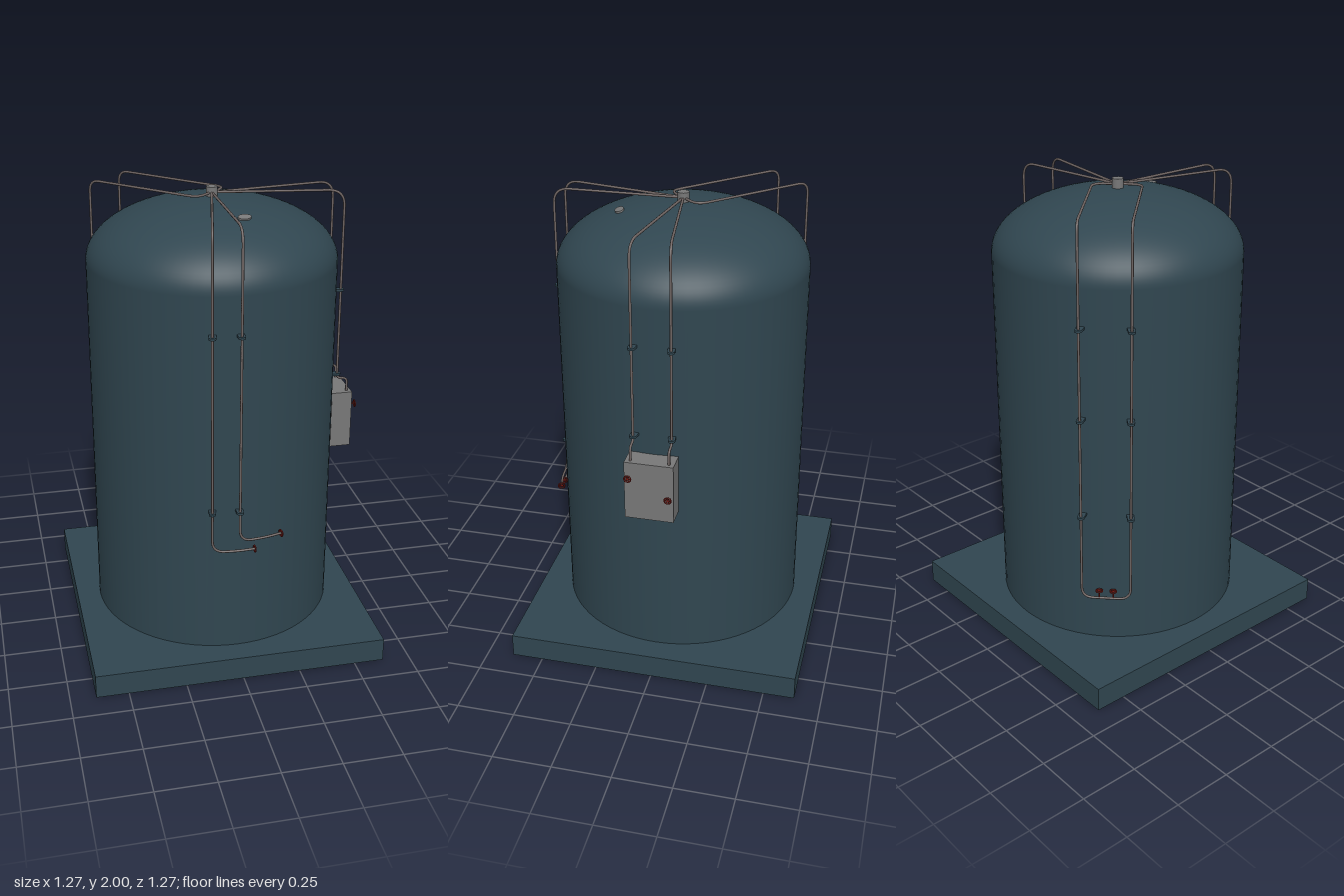
import * as THREE from 'three';

const paint = (name, color) => {
  const m = new THREE.MeshStandardMaterial({ color });
  m.name = name;
  return m;
};

const TANK_R = 0.53, SHOULDER = 1.7, DOME_H = 0.26;
const PIPE_R = 0.0055, PIPE_TOP = 1.975, RUN_R = 0.555;

export function createModel() {
  const model = new THREE.Group();
  model.name = 'storageTank';
  const blue = paint('dark blue steel', 0x304650);
  const grey = paint('grey metal', 0x787878);
  const pipeGrey = paint('pipe metal', 0x6e6462);
  const red = paint('valve red', 0x7a1a14);

  const add = (parent, name, geometry, material, x = 0, y = 0, z = 0) => {
    const mesh = new THREE.Mesh(geometry, material);
    mesh.name = name;
    mesh.position.set(x, y, z);
    parent.add(mesh);
    return mesh;
  };
  const group = (parent, name, angle = 0) => {
    const g = new THREE.Group();
    g.name = name;
    g.rotation.y = angle;
    parent.add(g);
    return g;
  };
  // Point around the tank; angle 0 is the front
  const polar = (a, r, y) => new THREE.Vector3(r * Math.sin(a), y, r * Math.cos(a));

  // Pipe through corner points with rounded bends
  const pipe = (parent, name, pts, bend = 0.07) => {
    const path = new THREE.CurvePath();
    let from = pts[0];
    for (let i = 1; i < pts.length - 1; i++) {
      const [a, b, c] = [pts[i - 1], pts[i], pts[i + 1]];
      const d = Math.min(bend, a.distanceTo(b) * 0.48, b.distanceTo(c) * 0.48);
      const p = b.clone().add(a.clone().sub(b).setLength(d));
      const q = b.clone().add(c.clone().sub(b).setLength(d));
      path.add(new THREE.LineCurve3(from, p));
      path.add(new THREE.QuadraticBezierCurve3(p, b, q));
      from = q;
    }
    path.add(new THREE.LineCurve3(from, pts[pts.length - 1]));
    const segments = Math.ceil(path.getLength() / 0.01);
    add(parent, name, new THREE.TubeGeometry(path, segments, PIPE_R, 8), pipeGrey);
  };

  // Bracket from the tank wall around a pipe at local x, z
  const clamp = (parent, x, z, y) => {
    const g = group(parent, 'pipeClamp', Math.atan2(x, z));
    const r = Math.hypot(x, z);
    add(g, 'clampArm', new THREE.BoxGeometry(0.03, 0.01, r - 0.52), blue, 0, y, (r + 0.52) / 2);
    add(g, 'clampEnd', new THREE.CylinderGeometry(0.015, 0.015, 0.01, 16), blue, 0, y, r);
  };

  // Hand wheel facing local +z, with its stem behind it
  const handWheel = (parent, position, stem) => {
    const g = group(parent, 'handWheel');
    g.position.copy(position);
    add(g, 'wheelRim', new THREE.TorusGeometry(0.014, 0.003, 8, 20), red);
    for (let i = 0; i < 3; i++) {
      add(g, 'wheelSpoke', new THREE.BoxGeometry(0.028, 0.004, 0.003), red).rotation.z = i * Math.PI / 3;
    }
    add(g, 'wheelStem', new THREE.CylinderGeometry(0.003, 0.003, stem, 8).rotateX(Math.PI / 2), red, 0, 0, -stem / 2);
    return g;
  };

  // Square plinth
  add(model, 'base', new THREE.BoxGeometry(1.27, 0.105, 1.27), blue, 0, 0.0525, 0);

  // Cylindrical wall and elliptical dome
  add(model, 'tankWall', new THREE.CylinderGeometry(TANK_R, TANK_R, SHOULDER - 0.1, 72, 1, true), blue, 0, (SHOULDER + 0.1) / 2, 0);
  const dome = new THREE.SphereGeometry(1, 72, 24, 0, Math.PI * 2, 0, Math.PI / 2).scale(TANK_R, DOME_H, TANK_R);
  add(model, 'tankDome', dome, blue, 0, SHOULDER, 0);

  // Cap where all pipes meet
  add(model, 'topCap', new THREE.CylinderGeometry(0.024, 0.024, 0.045, 24), grey, 0, 1.9775, 0);

  // Small plate lying on the dome
  const seat = group(model, 'domePlate', 0.31);
  const plate = add(seat, 'plate', new THREE.CylinderGeometry(0.03, 0.03, 0.008, 24), grey, 0, 1.929, 0.262);
  plate.scale.z = 0.65;
  plate.rotation.x = 0.27;

  const hub = new THREE.Vector3(0, PIPE_TOP, 0);

  // Front pipes: down the wall, then round it to a hand wheel
  const front = group(model, 'frontPipes');
  for (const [a0, a1, low] of [[-0.208, 0.117, 0.59], [0, 0.338, 0.635]]) {
    const r = RUN_R + 0.002;
    pipe(front, 'frontPipe', [hub, polar(a0, r, PIPE_TOP), polar(a0, r, low),
      polar(a0 + (a1 - a0) * 0.6, r, low), polar(a1, r, low)]);
    const p = polar(a0, r, 0);
    for (const y of [1.54, 0.77]) clamp(front, p.x, p.z, y);
    handWheel(front, polar(a1, r, low), 0.02).rotation.y = a1 + Math.PI / 2;
  }

  // Left side: control box with two feed pipes and two hand wheels
  const side = group(model, 'controlStation', Math.PI / 2);
  add(side, 'controlBox', new THREE.BoxGeometry(0.205, 0.26, 0.092), grey, 0, 0.935, 0.571);
  for (const s of [-1, 1]) {
    const x = s * 0.08, z = 0.55;
    pipe(side, 'feedPipe', [hub, new THREE.Vector3(x, PIPE_TOP, z), new THREE.Vector3(x, 1.127, z),
      new THREE.Vector3(x, 1.127, z + 0.047), new THREE.Vector3(x, 1.05, z + 0.047)]);
    for (const y of [1.54, 1.15]) clamp(side, x, z, y);
    handWheel(side, new THREE.Vector3(s * 0.083, s < 0 ? 1.0 : 0.92, 0.637), 0.03);
  }

  // Back corner: one closed loop with two hand wheels on its lower run
  const back = group(model, 'backLoop', -Math.PI * 3 / 4);
  const w = 0.104, low = 0.32;
  const corner = (s, y) => new THREE.Vector3(s * w, y, RUN_R);
  const turn = (s) => new THREE.Vector3(s * w, PIPE_TOP, 0);
  pipe(back, 'loopPipe', [hub, turn(-1), corner(-1, PIPE_TOP), corner(-1, low),
    corner(1, low), corner(1, PIPE_TOP), turn(1), hub], 0.05);
  for (const s of [-1, 1]) {
    for (const y of [1.54, 1.15, 0.71]) clamp(back, s * w, RUN_R, y);
    handWheel(back, new THREE.Vector3(s * 0.03, low + 0.035, RUN_R), 0.035).rotation.x = -Math.PI / 2;
  }

  model.position.x = -0.005;
  const root = new THREE.Group();
  root.name = 'tankModel';
  root.add(model);
  return root;
}
